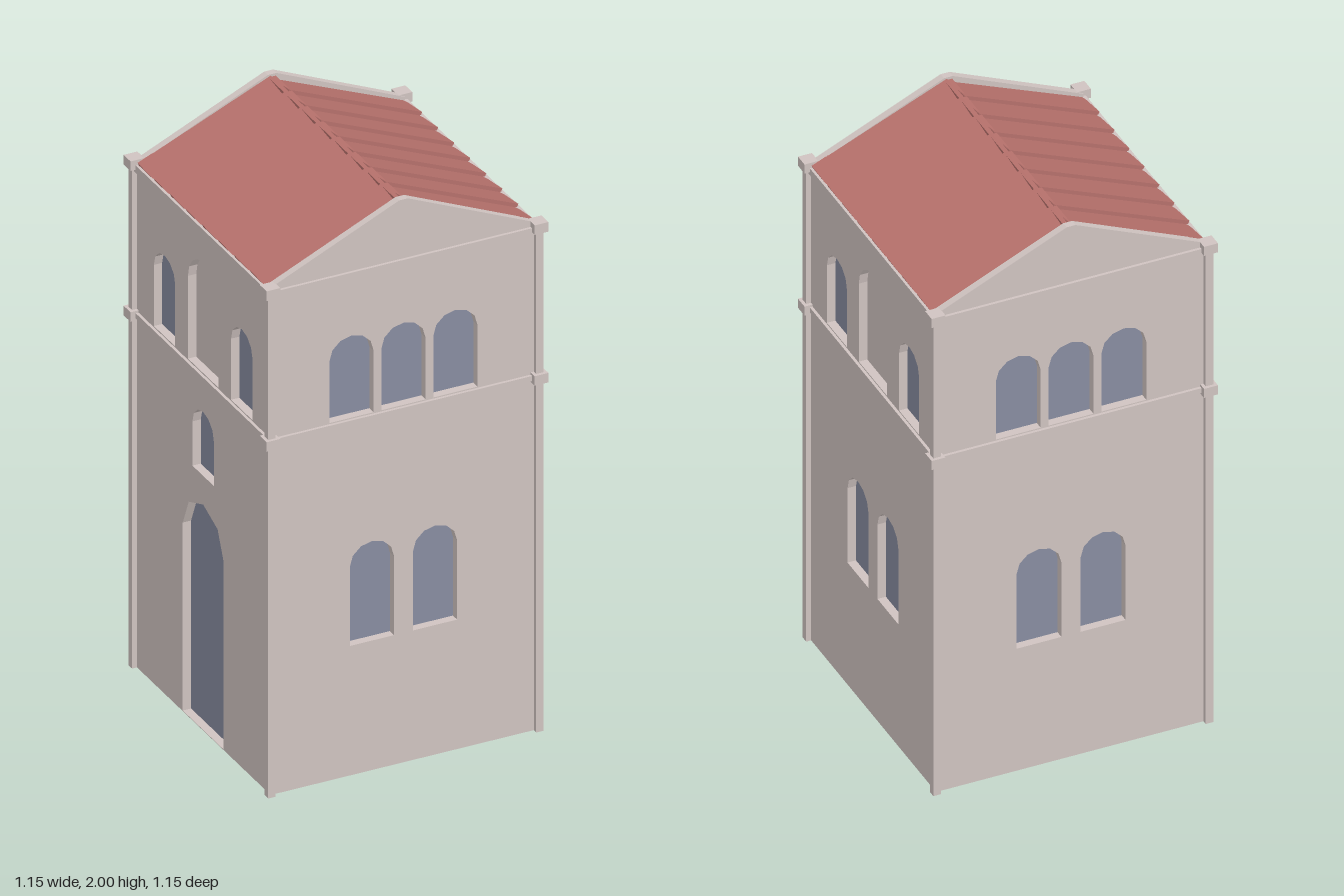
import * as THREE from 'three';

const wallMat = new THREE.MeshStandardMaterial({ color: 0xcfc3c0 });
const glassMat = new THREE.MeshStandardMaterial({ color: 0x878ca0 });
const roofMat = new THREE.MeshStandardMaterial({ color: 0xb5706b });

const HALF = 0.463;   // centre to outer wall face
const DEPTH = 0.03;   // depth of the recesses
const EAVE = 1.79;
const POST = 0.467;

function add(parent, name, geometry, material, x = 0, y = 0, z = 0) {
  const mesh = new THREE.Mesh(geometry, material);
  mesh.name = name;
  mesh.position.set(x, y, z);
  parent.add(mesh);
  return mesh;
}

const box = (w, h, d) => new THREE.BoxGeometry(w, h, d);

// Round-headed opening as a faceted outline
function archPoints({ x, y0, y1, w, seg = 6 }) {
  const r = w / 2;
  const spring = y1 - r * 0.95;
  const pts = [new THREE.Vector2(x - r, y0), new THREE.Vector2(x + r, y0)];
  for (let i = 0; i <= seg; i++) {
    const a = (Math.PI * i) / seg;
    pts.push(new THREE.Vector2(x + r * Math.cos(a), spring + r * 0.95 * Math.sin(a)));
  }
  return pts;
}

// One wall slab facing +z, pierced by its openings, with a pane behind each
function makeWall(name, openings) {
  const wall = new THREE.Group();
  wall.name = name;
  const e = HALF - 0.003;
  const shape = new THREE.Shape([
    new THREE.Vector2(-e, 0), new THREE.Vector2(e, 0),
    new THREE.Vector2(e, EAVE), new THREE.Vector2(-e, EAVE),
  ]);
  for (const o of openings) shape.holes.push(new THREE.Path(archPoints(o)));
  const slab = new THREE.ExtrudeGeometry(shape, { depth: DEPTH, bevelEnabled: false });
  add(wall, 'wallSlab', slab, wallMat, 0, 0, HALF - DEPTH);
  for (const o of openings) {
    const pane = new THREE.ExtrudeGeometry(
      new THREE.Shape(archPoints({ ...o, w: o.w + 0.004 })), { depth: 0.01, bevelEnabled: false });
    add(wall, o.blind ? 'blindNiche' : o.name || 'windowPane', pane,
      o.blind ? wallMat : glassMat, 0, 0, HALF - DEPTH - 0.009);
  }
  // String course and eaves band
  add(wall, 'stringCourse', box(2 * POST, 0.018, 0.03), wallMat, 0, 1.257, HALF - 0.005);
  add(wall, 'eavesBand', box(2 * POST, 0.026, 0.03), wallMat, 0, 1.778, HALF - 0.005);
  return wall;
}

// Sawtooth cross-section swept down the slope: overlapping roof sheets
function makeRoofSlope() {
  const n = 8, w = 0.44, step = 0.013;
  const shape = new THREE.Shape();
  shape.moveTo(-w, -0.015);
  shape.lineTo(w, -0.015);
  for (let i = n - 1; i >= 0; i--) {
    const x0 = -w + (2 * w * i) / n;
    shape.lineTo(x0 + (2 * w) / n, 0);
    shape.lineTo(x0, step);
  }
  shape.closePath();
  const run = 0.463, drop = 0.195;
  const geo = new THREE.ExtrudeGeometry(shape, { depth: Math.hypot(run, drop), bevelEnabled: false });
  geo.rotateX(Math.atan2(drop, run));
  return geo;
}

export function createModel() {
  const model = new THREE.Group();
  model.name = 'tower';
  const body = new THREE.Group();
  body.name = 'towerBody';
  body.rotation.y = -0.185;
  model.add(body);

  // Openings
  const upperLong = [
    { x: -0.265, y0: 1.27, y1: 1.557, w: 0.147 },
    { x: 0, y0: 1.27, y1: 1.663, w: 0.208, seg: 8, blind: true },
    { x: 0.265, y0: 1.27, y1: 1.557, w: 0.147 },
  ];
  const upperTriple = [-0.181, 0, 0.181].map(x => ({ x, y0: 1.27, y1: 1.562, w: 0.154 }));
  const lowerPair = [-0.11, 0.11].map(x => ({ x, y0: 0.46, y1: 0.814, w: 0.154 }));
  const entrance = [
    { x: 0, y0: 0.002, y1: 0.803, w: 0.28, seg: 4, name: 'door' },
    { x: 0, y0: 0.905, y1: 1.132, w: 0.147 },
  ];

  // Four walls
  const walls = [
    ['frontWall', [...upperLong, ...entrance]],
    ['leftWall', [...upperTriple, ...lowerPair]],
    ['backWall', [...upperLong, ...lowerPair]],
    ['rightWall', [...upperTriple, ...lowerPair]],
  ];
  walls.forEach(([name, openings], i) => {
    const wall = makeWall(name, openings);
    wall.rotation.y = (i * Math.PI) / 2;
    body.add(wall);
  });
  add(body, 'floor', box(0.91, 0.002, 0.91), wallMat, 0, 0.001, 0);

  // Corner posts with collars
  for (const sx of [-1, 1]) for (const sz of [-1, 1]) {
    const x = sx * POST, z = sz * POST;
    add(body, 'cornerPost', box(0.026, 1.79, 0.026), wallMat, x, 0.895, z);
    add(body, 'postCollar', box(0.048, 0.034, 0.048), wallMat, x, 1.257, z);
    add(body, 'postCap', box(0.048, 0.034, 0.048), wallMat, x, 1.793, z);
  }

  // Gable walls with a blunt peak
  const gable = new THREE.Shape([
    new THREE.Vector2(-HALF, EAVE), new THREE.Vector2(HALF, EAVE),
    new THREE.Vector2(HALF, EAVE + 0.012), new THREE.Vector2(0.015, 2),
    new THREE.Vector2(-0.015, 2), new THREE.Vector2(-HALF, EAVE + 0.012),
  ]);
  const gableGeo = new THREE.ExtrudeGeometry(gable, { depth: 0.025, bevelEnabled: false });
  for (const s of [-1, 1]) {
    const g = add(body, 'gable', gableGeo, wallMat, s * (HALF - 0.025), 0, 0);
    g.rotation.y = (s * Math.PI) / 2;
  }

  // Roof slopes and ridge
  const slopeGeo = makeRoofSlope();
  add(body, 'frontRoofSlope', slopeGeo, roofMat, 0, 1.984, 0);
  add(body, 'backRoofSlope', slopeGeo, roofMat, 0, 1.984, 0).rotation.y = Math.PI;
  add(body, 'roofRidge', box(0.88, 0.016, 0.026), roofMat, 0, 1.983, 0);

  return model;
}
